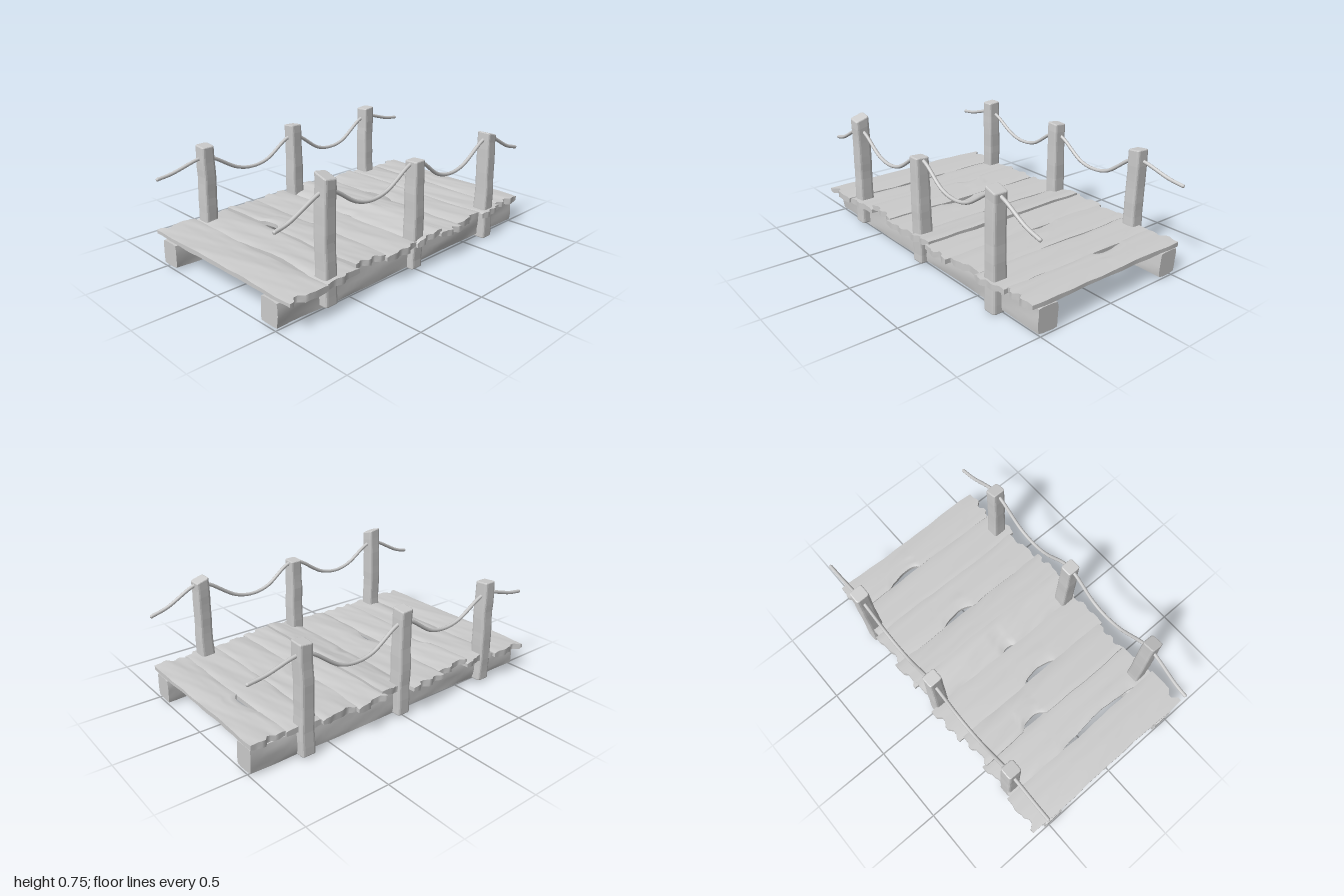
import * as THREE from 'three';

const mat = new THREE.MeshStandardMaterial({ color: 0xcccccc });

// Smooth repeatable waviness in about -1..1
const wave = (t, s) => 0.5 * Math.sin(t * 7 + s * 2.3) + 0.3 * Math.sin(t * 15 + s * 5.1) + 0.2 * Math.sin(t * 33 + s * 1.7);
const hash = (n) => { const v = Math.sin(n * 127.1) * 43758.5453; return v - Math.floor(v); };

function add(group, name, geometry) {
  const mesh = new THREE.Mesh(geometry, mat);
  mesh.name = name;
  group.add(mesh);
}

// Moves every vertex of a geometry by a rule
function reshape(geometry, rule) {
  const p = geometry.attributes.position, v = new THREE.Vector3();
  for (let i = 0; i < p.count; i++) {
    rule(v.fromBufferAttribute(p, i));
    p.setXYZ(i, v.x, v.y, v.z);
  }
  geometry.computeVertexNormals();
  return geometry;
}

// Worn plank: wavy long edges, chipped ends and an optional notch [x0, x1, depth] in its front edge
function plankGeometry({ z, x, y = 0.184, tilt = 0, notch }, seed) {
  const thick = 0.038;
  return reshape(new THREE.BoxGeometry(1, 1, 1, 60, 2, 10), (v) => {
    const u = v.x + 0.5, w = v.z + 0.5, side = v.y * 2;
    // ends broken in steps across the width
    const step = Math.floor(w * 4.99);
    const x0 = x[0] + 0.035 * hash(seed * 9 + step);
    const x1 = x[1] - 0.035 * hash(seed * 13 + step + 40);
    const px = x0 + (x1 - x0) * u;
    // long edges
    const back = z[0] - 0.004 + 0.006 * wave(px, seed);
    let front = z[1] + 0.004 + 0.006 * wave(px, seed + 1);
    if (notch && px > notch[0] && px < notch[1]) {
      const t = (px - notch[0]) / (notch[1] - notch[0]);
      front -= notch[2] * Math.pow(Math.sin(Math.PI * t), 0.45) * (1 + 0.2 * wave(px * 2, seed));
    }
    // rounded edges and uneven faces
    const edge = Math.pow(Math.abs(v.z) * 2, 6);
    const half = thick / 2 * (1 - 0.35 * edge);
    const grain = 0.004 * wave(px * 0.8 + w * 0.7, seed + side) + 0.002 * wave(w * 1.5, seed + 3);
    v.set(px, y + side * half + grain + tilt * (0.5 - w), back + (front - back) * w);
  });
}

// Hewn post: slightly tapering squared log with a slanted top
function postGeometry({ x, z, top, bottom, slantX, slantZ }, seed) {
  const shape = new THREE.Shape();
  const a = 0.046, r = 0.018;
  shape.moveTo(-a + r, -a);
  shape.lineTo(a - r, -a).quadraticCurveTo(a, -a, a, -a + r);
  shape.lineTo(a, a - r).quadraticCurveTo(a, a, a - r, a);
  shape.lineTo(-a + r, a).quadraticCurveTo(-a, a, -a, a - r);
  shape.lineTo(-a, -a + r).quadraticCurveTo(-a, -a, -a + r, -a);
  const g = new THREE.ExtrudeGeometry(shape, {
    depth: 1, steps: 14, curveSegments: 3, bevelSize: 0.007, bevelOffset: -0.007, bevelThickness: 0.01, bevelSegments: 2,
  });
  g.rotateX(-Math.PI / 2);
  return reshape(g, (v) => {
    const t = v.y, k = 1.03 - 0.08 * t + 0.03 * wave(t, seed);
    const lx = v.x * k, lz = v.z * k * 0.93;
    const py = bottom + (top - bottom) * t + (slantX * lx + slantZ * lz) * Math.max(0, t * 3 - 2);
    v.set(x + lx + 0.004 * wave(t * 0.6, seed), py, z + lz + 0.004 * wave(t * 0.6, seed + 2));
  });
}

// Roughly squared beam under the deck
function beamGeometry(x, seed) {
  return reshape(new THREE.BoxGeometry(0.13, 0.145, 1.99, 4, 4, 40), (v) => {
    const t = v.z, corner = Math.abs(v.x) > 0.06 && Math.abs(v.y) > 0.07 ? 0.94 : 1;
    const sx = v.x * corner, sy = v.y * corner;
    v.x = x + sx + 0.006 * wave(t * 0.6 + v.y * 3, seed);
    v.y = 0.094 + sy + 0.007 * wave(t * 0.5 + v.x, seed + 4) * (v.y < 0 ? 1 : 0.4);
  });
}

// Rope hanging through the posts; points are [z, y] pairs
function ropeGeometry(x, points) {
  const curve = new THREE.CatmullRomCurve3(points.map(([z, y]) => new THREE.Vector3(x, y, z)));
  return new THREE.TubeGeometry(curve, 120, 0.011, 8, false);
}

function ropeCap(x, [z, y]) {
  return new THREE.SphereGeometry(0.011, 8, 6).translate(x, y, z);
}

export function createModel() {
  const model = new THREE.Group();
  model.name = 'plankBridge';

  // Deck planks, back to front
  const deck = new THREE.Group();
  deck.name = 'deck';
  model.add(deck);
  [
    { z: [-0.99, -0.79], x: [-0.55, 0.56], notch: [-0.29, -0.06, 0.035] },
    { z: [-0.785, -0.575], x: [-0.57, 0.59], y: 0.182 },
    { z: [-0.575, -0.345], x: [-0.585, 0.58], y: 0.186, notch: [-0.2, 0.02, 0.035] },
    { z: [-0.345, -0.155], x: [-0.6, 0.61], y: 0.188, tilt: -0.012 },
    { z: [-0.165, 0.035], x: [-0.59, 0.6], y: 0.198, tilt: 0.034, notch: [-0.04, 0.06, 0.02] },
    { z: [0.035, 0.285], x: [-0.62, 0.59], y: 0.183, notch: [-0.07, 0.18, 0.035] },
    { z: [0.285, 0.5], x: [-0.59, 0.57], y: 0.196, tilt: -0.012, notch: [-0.26, -0.1, 0.04] },
    { z: [0.495, 0.735], x: [-0.6, 0.6], y: 0.182, notch: [-0.16, 0.44, 0.03] },
    { z: [0.74, 0.98], x: [-0.62, 0.6], y: 0.181 },
  ].forEach((p, i) => add(deck, 'plank' + (i + 1), plankGeometry(p, i + 1)));

  // Two long beams
  add(model, 'leftBeam', beamGeometry(0.448, 1));
  add(model, 'rightBeam', beamGeometry(-0.465, 6));

  // Three posts on each side
  [
    { x: 0.512, z: 0.675, top: 0.735, bottom: 0.05, slantX: -0.3, slantZ: 0.15 },
    { x: 0.512, z: 0.005, top: 0.66, bottom: 0.03, slantX: 0.05, slantZ: 0 },
    { x: 0.512, z: -0.67, top: 0.68, bottom: 0.015, slantX: 0, slantZ: 0.3 },
    { x: -0.533, z: 0.675, top: 0.66, bottom: 0.03, slantX: -0.08, slantZ: 0 },
    { x: -0.533, z: 0, top: 0.66, bottom: 0.03, slantX: 0.1, slantZ: 0.05 },
    { x: -0.533, z: -0.67, top: 0.66, bottom: 0.03, slantX: 0.05, slantZ: -0.1 },
  ].forEach((p, i) => add(model, p.x > 0 ? 'leftPost' : 'rightPost', postGeometry(p, i + 1)));

  // Rope rails, front to back
  const ropes = [
    ['leftRope', 0.51, [[0.99, 0.535], [0.91, 0.555], [0.73, 0.645], [0.675, 0.66], [0.61, 0.64], [0.46, 0.545], [0.35, 0.52],
      [0.23, 0.54], [0.06, 0.64], [0, 0.655], [-0.06, 0.635], [-0.2, 0.535], [-0.31, 0.51], [-0.43, 0.53], [-0.61, 0.64],
      [-0.67, 0.66], [-0.73, 0.645], [-0.89, 0.56], [-0.99, 0.53]]],
    ['rightRope', -0.54, [[0.99, 0.528], [0.9, 0.54], [0.73, 0.585], [0.675, 0.59], [0.61, 0.57], [0.45, 0.48], [0.34, 0.457],
      [0.22, 0.475], [0.06, 0.575], [0, 0.59], [-0.06, 0.57], [-0.22, 0.465], [-0.33, 0.445], [-0.44, 0.465], [-0.61, 0.58],
      [-0.67, 0.6], [-0.73, 0.595], [-0.89, 0.55], [-0.99, 0.535]]],
  ];
  for (const [name, x, points] of ropes) {
    const rope = new THREE.Group();
    rope.name = name;
    model.add(rope);
    add(rope, name + 'Line', ropeGeometry(x, points));
    for (const end of [points[0], points[points.length - 1]]) add(rope, name + 'End', ropeCap(x, end));
  }
  return model;
}
